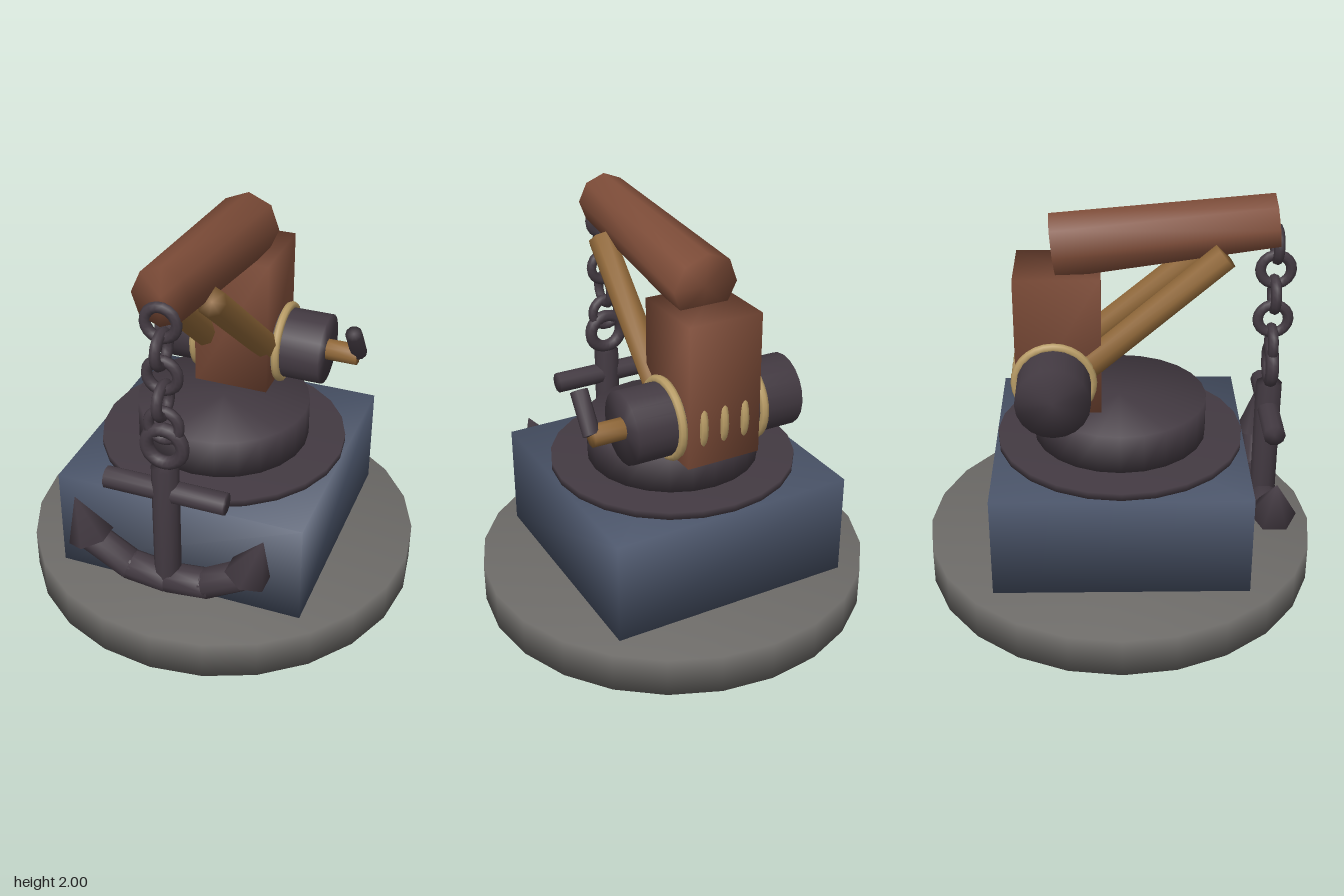
import * as THREE from 'three';
import { mergeVertices } from 'three/addons/utils/BufferGeometryUtils.js';

const V = (x, y, z) => new THREE.Vector3(x, y, z);

// Weld all corners so normals run smoothly over every edge
function soften(geo) {
  geo.deleteAttribute('uv');
  geo.deleteAttribute('normal');
  const welded = mergeVertices(geo, 1e-4);
  welded.computeVertexNormals();
  return welded;
}

export function createModel() {
  const model = new THREE.Group();
  const mat = (name, color) => {
    const m = new THREE.MeshStandardMaterial({ color });
    m.name = name;
    return m;
  };
  const stone = mat('stone', 0x6c6a67);
  const slate = mat('slate blue', 0x4b556a);
  const iron = mat('dark iron', 0x433a42);
  const wood = mat('red wood', 0x7d4c38);
  const timber = mat('tan timber', 0x8f6738);
  const rope = mat('rope', 0xb89c66);

  const add = (name, geo, material, x = 0, y = 0, z = 0, parent = model) => {
    const mesh = new THREE.Mesh(soften(geo), material);
    mesh.name = name;
    mesh.position.set(x, y, z);
    parent.add(mesh);
    return mesh;
  };

  // Cylinder, taper or cone running from point a to point b
  const rod = (name, a, b, ra, rb, sides, material, parent = model) => {
    const dir = b.clone().sub(a);
    const mid = a.clone().add(b).multiplyScalar(0.5);
    const geo = new THREE.CylinderGeometry(rb, ra, dir.length(), sides);
    const mesh = add(name, geo, material, mid.x, mid.y, mid.z, parent);
    mesh.quaternion.setFromUnitVectors(V(0, 1, 0), dir.normalize());
    return mesh;
  };

  // Pedestal and turntable
  add('base', new THREE.CylinderGeometry(0.99, 0.99, 0.2, 24), stone, 0, 0.1, 0);
  add('plinth', new THREE.BoxGeometry(1.245, 0.52, 1.245), slate, 0, 0.46, 0);
  add('bearingPlate', new THREE.CylinderGeometry(0.615, 0.615, 0.04, 24), iron, 0, 0.737, 0);
  add('turntable', new THREE.CylinderGeometry(0.43, 0.43, 0.2, 24), iron, 0, 0.855, 0);

  // Post, boom and its two struts
  add('post', new THREE.BoxGeometry(0.38, 0.71, 0.41), wood, 0, 1.295, -0.297);
  rod('boom', V(0, 1.745, -0.315), V(0, 1.868, 0.735), 0.165, 0.135, 8, wood);
  for (const s of [-1, 1]) {
    rod('strut', V(s * 0.158, 1.12, -0.24), V(s * 0.13, 1.745, 0.487), 0.07, 0.07, 8, timber);
  }

  // Winch drum with rope turns
  const winch = new THREE.Group();
  winch.name = 'winch';
  winch.position.set(0, 1.135, -0.318);
  model.add(winch);
  rod('drum', V(-0.437, 0, 0), V(0.437, 0, 0), 0.178, 0.178, 20, iron, winch);
  for (let i = -2; i <= 2; i++) {
    const turn = add('ropeTurn', new THREE.TorusGeometry(0.185, 0.022, 8, 28), rope, i * 0.109, 0, 0, winch);
    turn.rotation.y = Math.PI / 2;
  }

  // Crank on the left end of the drum
  rod('crankShaft', V(0.43, 0, 0), V(0.595, 0, 0), 0.054, 0.054, 10, timber, winch);
  rod('crankHandle', V(0.594, 0.01, -0.01), V(0.594, 0.18, 0.115), 0.042, 0.042, 10, iron, winch);

  // Hanging chain, alternate links turned a quarter
  const hangZ = 0.742;
  for (let i = 0; i < 5; i++) {
    const link = add('chainLink', new THREE.TorusGeometry(0.074, 0.026, 8, 18), iron, 0, 1.75 - i * 0.129, hangZ);
    link.rotation.y = i % 2 ? Math.PI / 2 : 0;
  }

  // Anchor
  const anchor = new THREE.Group();
  anchor.name = 'anchor';
  anchor.position.set(0, 0, hangZ);
  model.add(anchor);
  add('anchorRing', new THREE.TorusGeometry(0.088, 0.033, 8, 20), iron, 0, 1.122, 0, anchor);
  rod('shank', V(0, 0.38, 0), V(0, 1.013, 0), 0.065, 0.065, 10, iron, anchor);
  rod('stock', V(-0.296, 0.878, 0), V(0.296, 0.878, 0), 0.054, 0.054, 10, iron, anchor);
  for (const s of [-1, 1]) {
    const elbow = V(s * 0.195, 0.384, 0);
    rod('innerArm', V(0, 0.362, 0), elbow, 0.075, 0.075, 10, iron, anchor);
    add('armElbow', new THREE.SphereGeometry(0.075, 10, 8), iron, elbow.x, elbow.y, 0, anchor);
    rod('outerArm', elbow, V(s * 0.415, 0.512, 0), 0.075, 0.075, 10, iron, anchor);
    rod('fluke', V(s * 0.4, 0.5, 0), V(s * 0.475, 0.712, 0), 0.113, 0, 6, iron, anchor);
  }
  return model;
}
